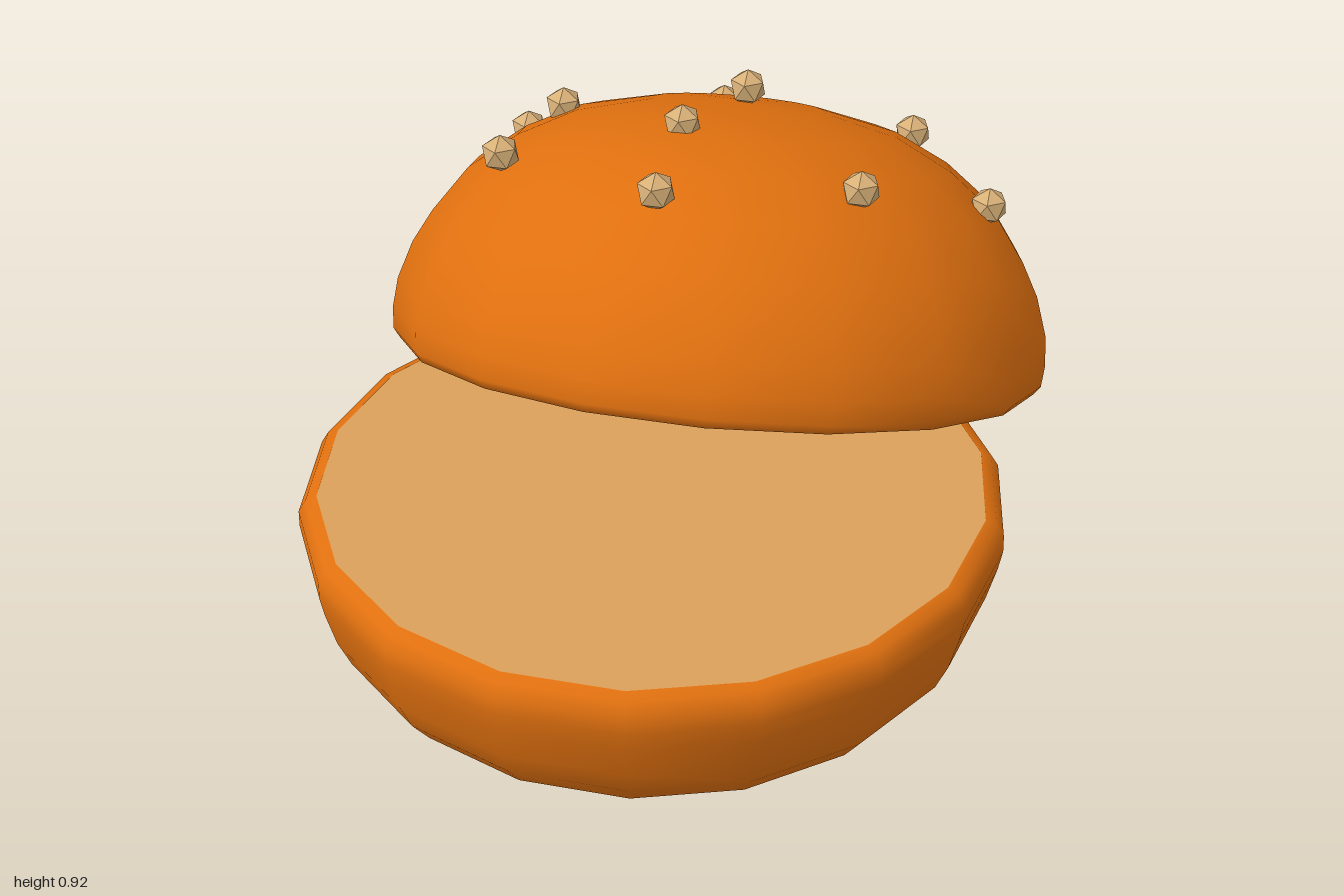
import * as THREE from 'three';

const SIDES = 18;
const crust = new THREE.MeshStandardMaterial({ color: 0xe0700f });
crust.name = 'crust orange';
const crumb = new THREE.MeshStandardMaterial({ color: 0xdca05a });
crumb.name = 'crumb cream';
const sesame = new THREE.MeshStandardMaterial({ color: 0xd8b078 });
sesame.name = 'sesame beige';

function addMesh(parent, name, geometry, material) {
  const mesh = new THREE.Mesh(geometry, material);
  mesh.name = name;
  parent.add(mesh);
  return mesh;
}

// Smooth round shell turned from [radius, height] points
function shell(profile) {
  const points = profile.map(([r, y]) => new THREE.Vector2(r, y));
  return new THREE.LatheGeometry(points, SIDES, Math.PI / SIDES);
}

// Flat disc facing up or down, its corners lined up with the shells
function disc(radius, y, up) {
  return new THREE.CircleGeometry(radius, SIDES)
    .rotateX(up ? -Math.PI / 2 : Math.PI / 2)
    .translate(0, y, 0);
}

export function createModel() {
  const model = new THREE.Group();
  model.name = 'openBun';

  // Lower half, cut face up
  const bottomBun = new THREE.Group();
  bottomBun.name = 'bottomBun';
  bottomBun.position.z = 0.296;
  model.add(bottomBun);
  addMesh(bottomBun, 'bottomCrust', shell([
    [0.575, 0], [0.595, 0.004], [0.622, 0.025], [0.662, 0.08], [0.687, 0.14],
    [0.706, 0.215], [0.714, 0.26], [0.713, 0.295], [0.697, 0.322], [0.675, 0.33],
  ]), crust);
  addMesh(bottomBun, 'bottomBase', disc(0.575, 0, false), crust);
  addMesh(bottomBun, 'bottomCutFace', disc(0.675, 0.33, true), crumb);

  // Domed upper half, tipped back over the lower one
  const topBun = new THREE.Group();
  topBun.name = 'topBun';
  topBun.position.set(0, 0.258, -0.284);
  topBun.rotation.x = -0.362;
  model.add(topBun);
  addMesh(topBun, 'topCrust', shell([
    [0.675, 0], [0.705, 0.002], [0.72, 0.022], [0.724, 0.07], [0.717, 0.135],
    [0.69, 0.217], [0.652, 0.287], [0.58, 0.387], [0.478, 0.465], [0.355, 0.526],
    [0.19, 0.563], [0, 0.574],
  ]), crust);
  addMesh(topBun, 'topCutFace', disc(0.675, 0, false), crumb);

  // Faceted seeds scattered over the dome, each with a corner pointing up
  const seedShape = new THREE.IcosahedronGeometry(0.042, 0)
    .rotateX(-Math.atan((1 + Math.sqrt(5)) / 2));
  const seeds = new THREE.Group();
  seeds.name = 'seeds';
  model.add(seeds);
  [
    [-0.12, 0.59, -0.875], [0.375, 0.455, -0.875], [0.36, 0.67, -0.665],
    [-0.51, 0.625, -0.57], [-0.38, 0.77, -0.42], [0.02, 0.83, -0.48],
    [0.57, 0.66, -0.38], [-0.055, 0.88, -0.185], [-0.42, 0.815, -0.085],
    [0.34, 0.825, -0.085], [-0.045, 0.86, 0.08],
  ].forEach((p) => addMesh(seeds, 'seed', seedShape, sesame).position.set(...p));

  return model;
}
